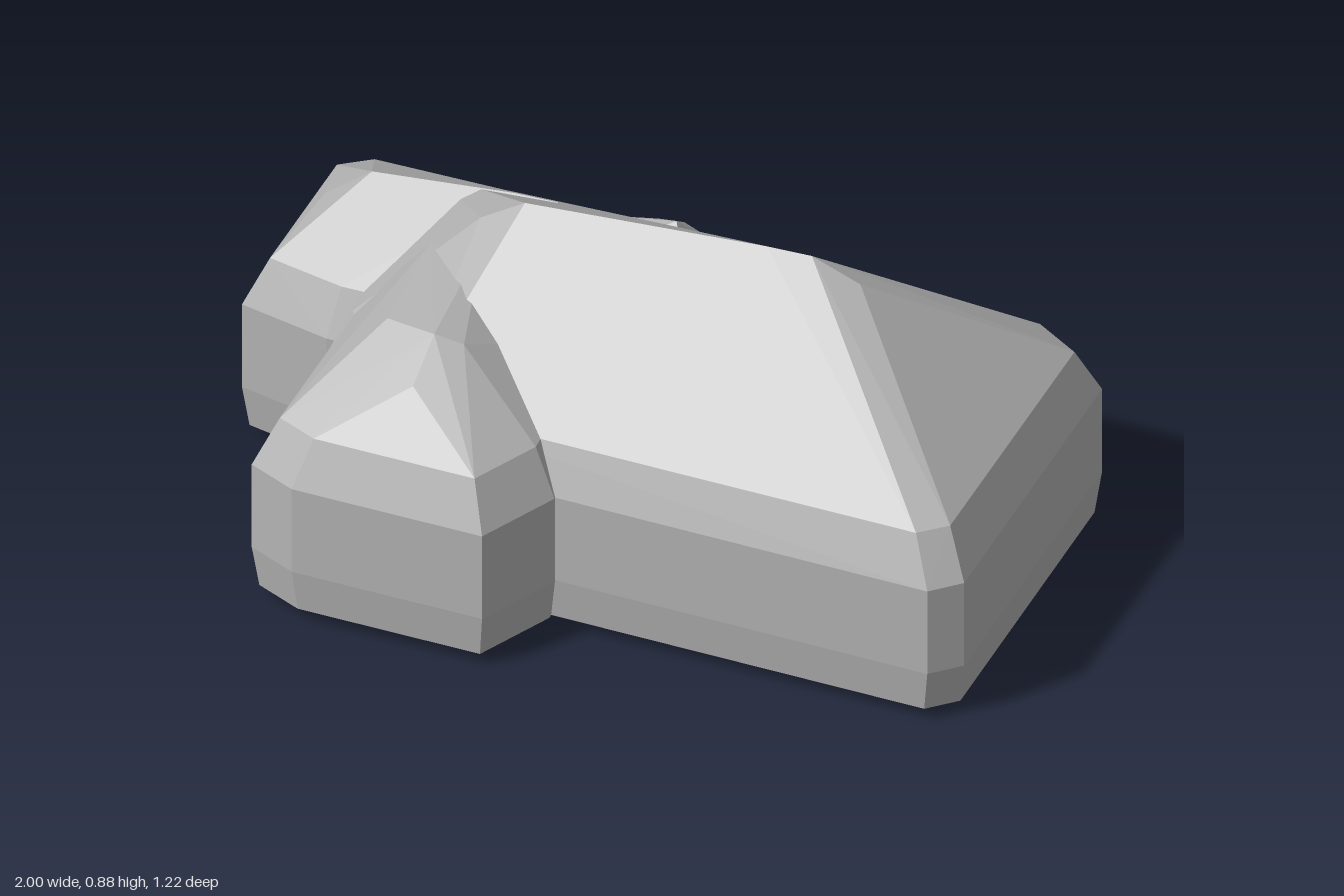
import * as THREE from 'three';
import { ConvexGeometry } from 'three/addons/geometries/ConvexGeometry.js';

// Wall profile: [height, inset from the footprint]
const LEVELS = [[0, 0.07], [0.035, 0.015], [0.15, 0], [0.39, 0], [0.51, 0.055]];

// Convex block: footprint [x, z] lofted through the wall profile and closed by roof points [x, y, z]
function block(name, footprint, roof, material) {
  const xs = footprint.map(p => p[0]), zs = footprint.map(p => p[1]);
  const x0 = Math.min(...xs), x1 = Math.max(...xs);
  const z0 = Math.min(...zs), z1 = Math.max(...zs);
  const cx = (x0 + x1) / 2, cz = (z0 + z1) / 2;
  const points = roof.map(p => new THREE.Vector3(...p));
  for (const [y, inset] of LEVELS) {
    const sx = 1 - 2 * inset / (x1 - x0), sz = 1 - 2 * inset / (z1 - z0);
    for (const [x, z] of footprint) {
      points.push(new THREE.Vector3(cx + (x - cx) * sx, y, cz + (z - cz) * sz));
    }
  }
  const mesh = new THREE.Mesh(new ConvexGeometry(points), material);
  mesh.name = name;
  return mesh;
}

export function createModel() {
  const group = new THREE.Group();
  group.name = 'house';
  const grey = new THREE.MeshStandardMaterial({ color: 0xb4b4b4, flatShading: true });
  grey.name = 'plain grey';

  // Main house with its tall hipped roof
  group.add(block('mainHouse',
    [[-0.75, -0.59], [0.88, -0.505], [1, -0.42], [0.95, 0.4], [0.88, 0.46], [-0.06, 0.405], [-0.5, 0.38], [-0.75, 0.04]],
    [[-0.41, 0.79, -0.06], [-0.3, 0.86, -0.06], [0.3, 0.883, -0.06], [0.41, 0.883, -0.06], [0.53, 0.83, -0.06],
      [0.76, 0.64, -0.06]], grey));

  // Lower end of the house, ridge set further back
  group.add(block('endBay',
    [[-0.97, -0.54], [-0.88, -0.6], [-0.3, -0.57], [-0.3, 0.02], [-0.77, 0], [-1, -0.06]],
    [[-0.88, 0.575, -0.3], [-0.76, 0.675, -0.29], [-0.41, 0.7, -0.29], [-0.3, 0.7, -0.29]], grey));

  // Front wing with a rounded hip
  group.add(block('frontWing',
    [[-0.77, 0.52], [-0.65, 0.58], [-0.17, 0.605], [-0.06, 0.41], [-0.06, -0.1], [-0.73, -0.1]],
    [[-0.53, 0.685, 0.25], [-0.4, 0.7, 0.29], [-0.33, 0.68, 0.28], [-0.41, 0.63, 0.41],
      [-0.53, 0.69, -0.06], [-0.41, 0.7, -0.08]], grey));

  // Shallow chimney breast on the back wall
  group.add(block('backBreast',
    [[-0.3, -0.56], [-0.15, -0.6], [-0.06, -0.61], [0.05, -0.55], [0.05, -0.3], [-0.3, -0.3]],
    [[-0.06, 0.6, -0.44]], grey));

  return group;
}
